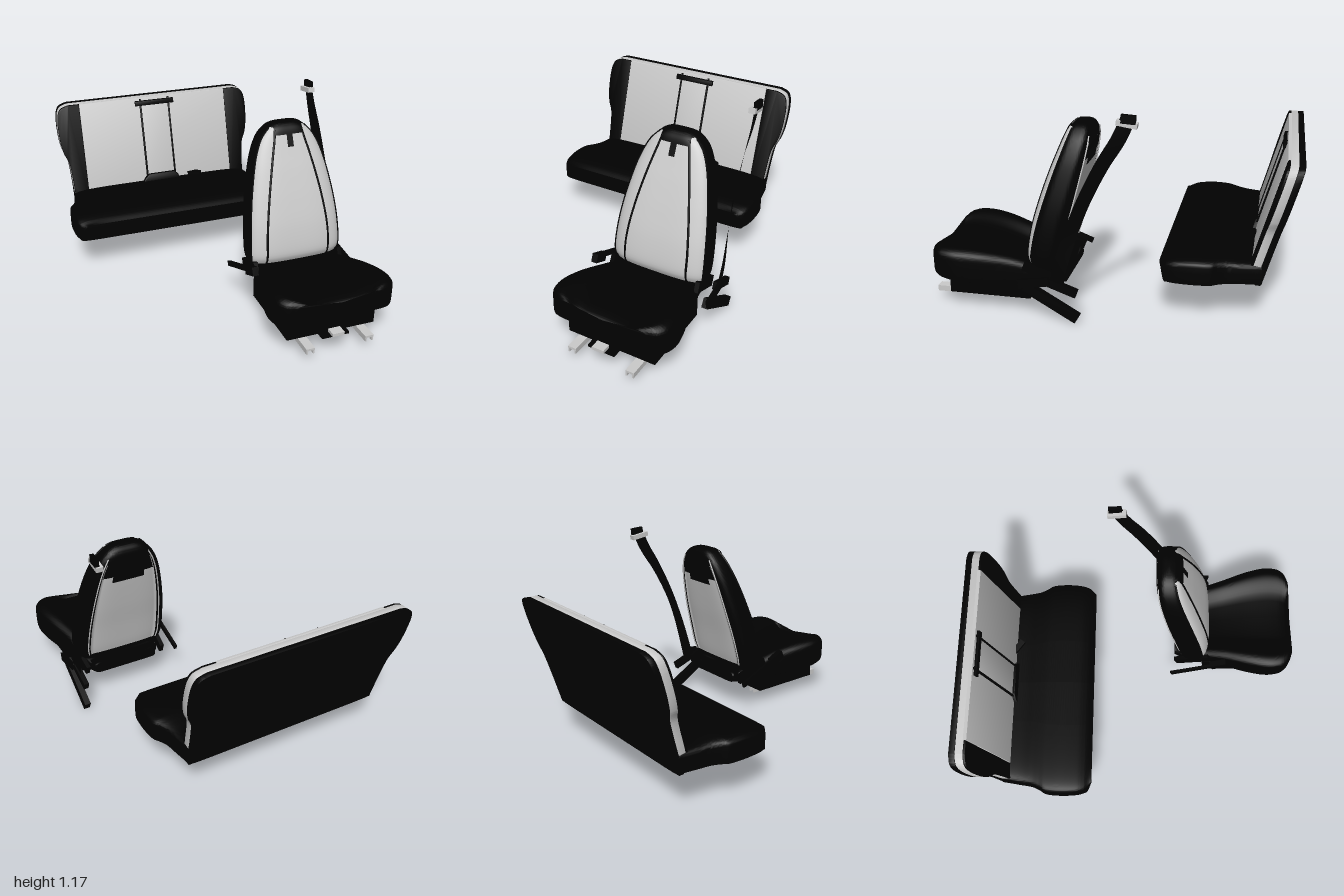
import * as THREE from 'three';
import { toCreasedNormals } from 'three/addons/utils/BufferGeometryUtils.js';
import { ParametricGeometry } from 'three/addons/geometries/ParametricGeometry.js';

const grey = new THREE.MeshStandardMaterial({ color: 0xcccccc, side: THREE.DoubleSide });
const black = new THREE.MeshStandardMaterial({ color: 0x010101, side: THREE.DoubleSide });
const V = (x, y, z) => new THREE.Vector3(x, y, z);
const spow = (c, p) => Math.sign(c) * Math.abs(c) ** p;
const smooth = THREE.MathUtils.smoothstep;

function add(parent, name, geo, mat) {
  const m = new THREE.Mesh(geo, mat);
  m.name = name;
  parent.add(m);
  return m;
}

function box(parent, name, [x0, x1], [y0, y1], [z0, z1], mat) {
  const m = add(parent, name, new THREE.BoxGeometry(x1 - x0, y1 - y0, z1 - z0), mat);
  m.position.set((x0 + x1) / 2, (y0 + y1) / 2, (z0 + z1) / 2);
}

// box stretched between two points
function bar(parent, name, a, b, w, h, mat) {
  const m = add(parent, name, new THREE.BoxGeometry(w, h, a.distanceTo(b)), mat);
  m.position.copy(a).lerp(b, 0.5);
  m.lookAt(b);
}

// smooth interpolation of stations [position, halfWidth, high, low]
function stations(rows) {
  const a = new THREE.CatmullRomCurve3(rows.map(r => V(r[0], r[1], 0)), false, 'catmullrom', 0.5);
  const b = new THREE.CatmullRomCurve3(rows.map(r => V(r[2], r[3], 0)), false, 'catmullrom', 0.5);
  return t => {
    const p = a.getPoint(t), q = b.getPoint(t);
    return { pos: p.x, w: p.y, mid: (q.x + q.y) / 2, d: (q.x - q.y) / 2 };
  };
}

// closed body swept through stations; place(section, angle, out, cap) sets a point; the ends get flat caps
function loft(at, place, stacks) {
  return toCreasedNormals(new ParametricGeometry((u, v, out) => {
    const s = at(THREE.MathUtils.clamp((v * stacks - 1) / (stacks - 2), 0, 1));
    const cap = Math.min(1, v * stacks, (1 - v) * stacks);
    s.w *= cap;
    s.d *= cap;
    place(s, u * 2 * Math.PI, out, cap);
  }, 96, stacks), 0.7);
}

// cushion lofted along z: soft top, square underside; dip hollows the middle of the top
function cushion(rows, cx, nTop, nBottom, dip) {
  return loft(stations(rows), (s, a, out, cap) => {
    const p = 2 / (Math.sin(a) > 0 ? nTop : nBottom);
    const c = spow(Math.cos(a), p), k = spow(Math.sin(a), p);
    const hollow = Math.max(k, 0) * dip * cap * (1 - smooth(Math.abs(c), 0.35, 0.88));
    out.set(cx + s.w * c, s.mid + s.d * k - hollow * Math.min(1, s.d / 0.06), s.pos);
  }, rows.length * 6);
}

function rearBench() {
  const g = new THREE.Group(), cx = -0.07;
  g.name = 'rearBench';
  add(g, 'benchCushion', cushion([
    [-0.81, 0.6, 0.365, 0.23], [-0.7, 0.618, 0.368, 0.23], [-0.63, 0.63, 0.376, 0.23], [-0.58, 0.652, 0.382, 0.23],
    [-0.54, 0.674, 0.385, 0.23], [-0.45, 0.682, 0.387, 0.23], [-0.36, 0.677, 0.38, 0.23], [-0.315, 0.665, 0.37, 0.23],
    [-0.292, 0.65, 0.361, 0.233], [-0.267, 0.615, 0.347, 0.325]], cx, 6, 16, 0), black);

  // slabs of the backrest lean back with height
  const lean = (name, shape, d0, d1, mat, bevel = 0.006) => {
    const e = new THREE.ExtrudeGeometry(shape, { depth: d1 - d0 - 2 * bevel, curveSegments: 24,
      bevelThickness: bevel, bevelSize: bevel, bevelOffset: -bevel, bevelSegments: 2 });
    const p = e.attributes.position;
    for (let i = 0; i < p.count; i++)
      p.setXYZ(i, p.getX(i) + cx, p.getY(i), p.getZ(i) + d0 + bevel - 0.81 - 0.28 * (p.getY(i) - 0.23));
    add(g, name, toCreasedNormals(e, 0.6), mat);
  };
  const poly = pts => new THREE.Shape(pts.map(p => new THREE.Vector2(...p)));
  const slab = (name, x0, x1, y0, y1, d0, d1, mat) =>
    lean(name, poly([[x0, y0], [x1, y0], [x1, y1], [x0, y1]]), d0, d1, mat, 0.003);
  const edge = [[0.6, 0.38], [0.612, 0.53], [0.642, 0.61], [0.657, 0.7], [0.657, 0.82], [0.635, 0.885], [0.58, 0.908]];
  const side = s => edge.map(([x, y]) => new THREE.Vector2(s * x, y));

  // full outline from a given bottom height
  const outline = y0 => {
    const o = new THREE.Shape();
    o.moveTo(-0.596, y0);
    o.lineTo(0.596, y0);
    o.lineTo(0.6, 0.38);
    o.splineThru(side(1).slice(1));
    o.lineTo(-0.58, 0.908);
    o.splineThru(side(-1).reverse().slice(1));
    o.closePath();
    return o;
  };
  lean('backrestShell', outline(0.23), 0, 0.036, black);
  lean('backrestBand', outline(0.33), 0.034, 0.08, grey);
  for (const s of [-1, 1]) {
    const b = new THREE.Shape();
    b.moveTo(s * 0.505, 0.3);
    b.lineTo(s * 0.597, 0.3);
    b.lineTo(s * 0.6, 0.38);
    b.splineThru(side(s).slice(1));
    b.lineTo(s * 0.505, 0.908);
    b.closePath();
    lean('sideBolster', b, 0.076, 0.092, black);
  }
  slab('centrePanel', -0.505, 0.505, 0.3, 0.908, 0.07, 0.093, grey);
  slab('foldingPanel', -0.095, 0.1, 0.36, 0.885, 0.09, 0.098, grey);
  for (const x of [-0.095, 0.1]) slab('panelStrap', x - 0.006, x + 0.006, 0.36, 0.9, 0.09, 0.104, black);
  slab('panelTopBar', -0.132, 0.135, 0.86, 0.89, 0.09, 0.108, black);
  lean('panelFoot', poly([[-0.13, 0.36], [0.13, 0.36], [0.12, 0.385], [0.09, 0.41], [-0.085, 0.41], [-0.115, 0.385]]),
    0.085, 0.113, black);
  bar(g, 'benchBuckle', V(0.12, 0.375, -0.78), V(0.2, 0.385, -0.72), 0.035, 0.02, black);
  return g;
}

function frontSeat() {
  const g = new THREE.Group(), cx = 0.395;
  g.name = 'frontSeat';
  add(g, 'seatCushion', cushion([
    [0.245, 0.2, 0.25, 0.18], [0.32, 0.235, 0.265, 0.18], [0.43, 0.25, 0.3, 0.17], [0.55, 0.278, 0.34, 0.168],
    [0.7, 0.325, 0.377, 0.175], [0.82, 0.35, 0.393, 0.188], [0.9, 0.345, 0.395, 0.203], [0.94, 0.325, 0.39, 0.215],
    [0.963, 0.298, 0.382, 0.23], [0.98, 0.25, 0.364, 0.3]], cx, 5, 9, 0.058), black);

  // backrest body: horizontal sections with a recess behind, then panels laid over its surface
  const at = stations([[0.265, 0.25, 0.405, 0.284], [0.3, 0.275, 0.44, 0.27], [0.36, 0.286, 0.455, 0.25],
    [0.5, 0.28, 0.432, 0.214], [0.65, 0.262, 0.388, 0.174], [0.8, 0.232, 0.335, 0.139], [0.9, 0.203, 0.295, 0.119],
    [0.98, 0.165, 0.262, 0.11], [1.03, 0.12, 0.24, 0.118], [1.053, 0.08, 0.217, 0.138], [1.06, 0.045, 0.195, 0.16]]);
  const onSection = (s, f, dir, off) => {
    const n = dir > 0 ? 3.3 : 3.6;
    const recess = dir > 0 ? 0 : 0.16 * (1 - smooth(Math.abs(f), 0.7, 0.82)) * (1 - smooth(s.pos, 0.9, 1.02));
    return V(cx + f * s.w, s.pos, s.mid + dir * (s.d * (Math.max(0, 1 - Math.abs(f) ** n) ** (1 / n) - recess) + off));
  };
  add(g, 'backrest', loft(at, (s, a, out) => {
    out.copy(onSection(s, spow(Math.cos(a), 0.6), Math.sin(a) > 0 ? -1 : 1, 0));
  }, 62), black);
  const level = y => {
    let lo = 0, hi = 1;
    for (let i = 0; i < 30; i++) at((lo + hi) / 2).pos < y ? lo = (lo + hi) / 2 : hi = (lo + hi) / 2;
    return at(lo);
  };
  // patch over a fraction of the width, between two heights
  const patch = (name, half, y0, y1, dir, off, mat) => add(g, name, new ParametricGeometry((u, v, out) => {
    const y = y0 + (y1 - y0) * v;
    out.copy(onSection(level(y), dir * half(y) * (2 * u - 1), dir, off));
  }, 40, 40), mat);
  const piping = (name, half, y0, y1, dir, r, mat) => {
    for (const s of [-1, 1]) {
      const pts = Array.from({ length: 16 }, (_, i) => y0 + (y1 - y0) * i / 15)
        .map(y => onSection(level(y), s * half(y), dir, 0.003));
      add(g, name, new THREE.TubeGeometry(new THREE.CatmullRomCurve3(pts), 48, r, 6), mat);
    }
  };
  const inX = y => 0.19 - 0.11 * THREE.MathUtils.clamp((y - 0.42) / 0.6, 0, 1) ** 1.5;
  patch('frontPanel', () => 0.96, 0.3, 1.042, 1, 0.004, grey);
  piping('outerPiping', () => 0.962, 0.3, 1.035, 1, 0.006, black);
  piping('innerPiping', y => inX(y) / level(y).w, 0.3, 1.03, 1, 0.007, black);
  patch('headPatch', y => Math.min(0.96, 0.087 / level(y).w), 1.005, 1.05, 1, 0.009, black);
  patch('headTab', y => 0.018 / level(y).w, 0.94, 1.02, 1, 0.01, black);
  patch('rearPanel', () => 0.76, 0.3, 0.965, -1, 0.004, grey);
  piping('rearPiping', () => 0.81, 0.3, 1.0, -1, 0.004, grey);
  patch('rearFlap', () => 0.74, 0.875, 0.97, -1, 0.007, black);
  patch('rearFlapStep', () => 0.45, 0.835, 0.88, -1, 0.007, black);

  // base, rails and adjusting lever
  box(g, 'seatBase', [0.13, 0.655], [0.095, 0.22], [0.43, 0.895], black);
  for (const x of [0.22, 0.57]) {
    box(g, 'railTop', [x - 0.025, x + 0.025], [0.082, 0.094], [0.435, 1], grey);
    for (const s of [-1, 1])
      box(g, 'railSide', [x + s * 0.019 - 0.004, x + s * 0.019 + 0.004], [0.06, 0.084], [0.435, 1], grey);
  }
  box(g, 'leverGrip', [0.345, 0.415], [0.138, 0.156], [0.945, 1], grey);
  box(g, 'leverArm', [0.37, 0.39], [0.142, 0.152], [0.89, 0.95], black);
  box(g, 'lowerLever', [0.3, 0.46], [0.115, 0.128], [0.89, 0.97], black);

  // hinge plates on both sides and the rear cross bar
  for (const s of [-1, 1])
    bar(g, 'hingePlate', V(cx + s * 0.265, 0.3, 0.46), V(cx + s * 0.25, 0.215, 0.25), 0.025, 0.06, black);
  bar(g, 'rearCrossBar', V(0.18, 0.235, 0.275), V(0.61, 0.235, 0.275), 0.04, 0.04, black);
  return g;
}

function seatBelt() {
  const g = new THREE.Group();
  g.name = 'seatBelt';
  const path = new THREE.CatmullRomCurve3([V(0.705, 0.22, 0.265), V(0.71, 0.35, 0.235), V(0.7, 0.52, 0.18),
    V(0.692, 0.7, 0.11), V(0.69, 0.9, 0.01), V(0.692, 1.04, -0.075), V(0.692, 1.16, -0.13)]);
  add(g, 'webbing', new ParametricGeometry((u, v, out) => {
    const p = path.getPoint(v), t = path.getTangent(v), twist = 0.08 + 0.35 * Math.sin(v * Math.PI) ** 2;
    const across = V(0, -t.z, t.y).normalize().multiplyScalar(Math.cos(twist)).add(V(Math.sin(twist), 0, 0));
    out.copy(p).addScaledVector(across, (u - 0.5) * 0.076);
  }, 4, 60), black);
  bar(g, 'guideLoop', V(0.685, 1.13, -0.065), V(0.685, 1.113, -0.172), 0.04, 0.028, grey);
  bar(g, 'guideTop', V(0.695, 1.15, -0.09), V(0.695, 1.145, -0.165), 0.022, 0.045, black);
  // lower anchor, retractor and inner buckle
  bar(g, 'anchorPlate', V(0.7, 0.23, 0.31), V(0.7, 0.175, 0.155), 0.03, 0.045, black);
  bar(g, 'outerBracket', V(0.73, 0.22, 0.47), V(0.725, 0.245, 0.3), 0.015, 0.05, black);
  bar(g, 'retractor', V(0.707, 0.2, 0.44), V(0.707, 0.032, 0.15), 0.036, 0.055, black);
  bar(g, 'buckleStalk', V(0.058, 0.21, 0.22), V(0.07, 0.325, 0.5), 0.016, 0.03, black);
  bar(g, 'buckleHead', V(0.075, 0.305, 0.47), V(0.08, 0.345, 0.565), 0.035, 0.05, black);
  return g;
}

export function createModel() {
  const model = new THREE.Group();
  model.name = 'vehicleSeats';
  model.add(rearBench(), frontSeat(), seatBelt());
  return model;
}
